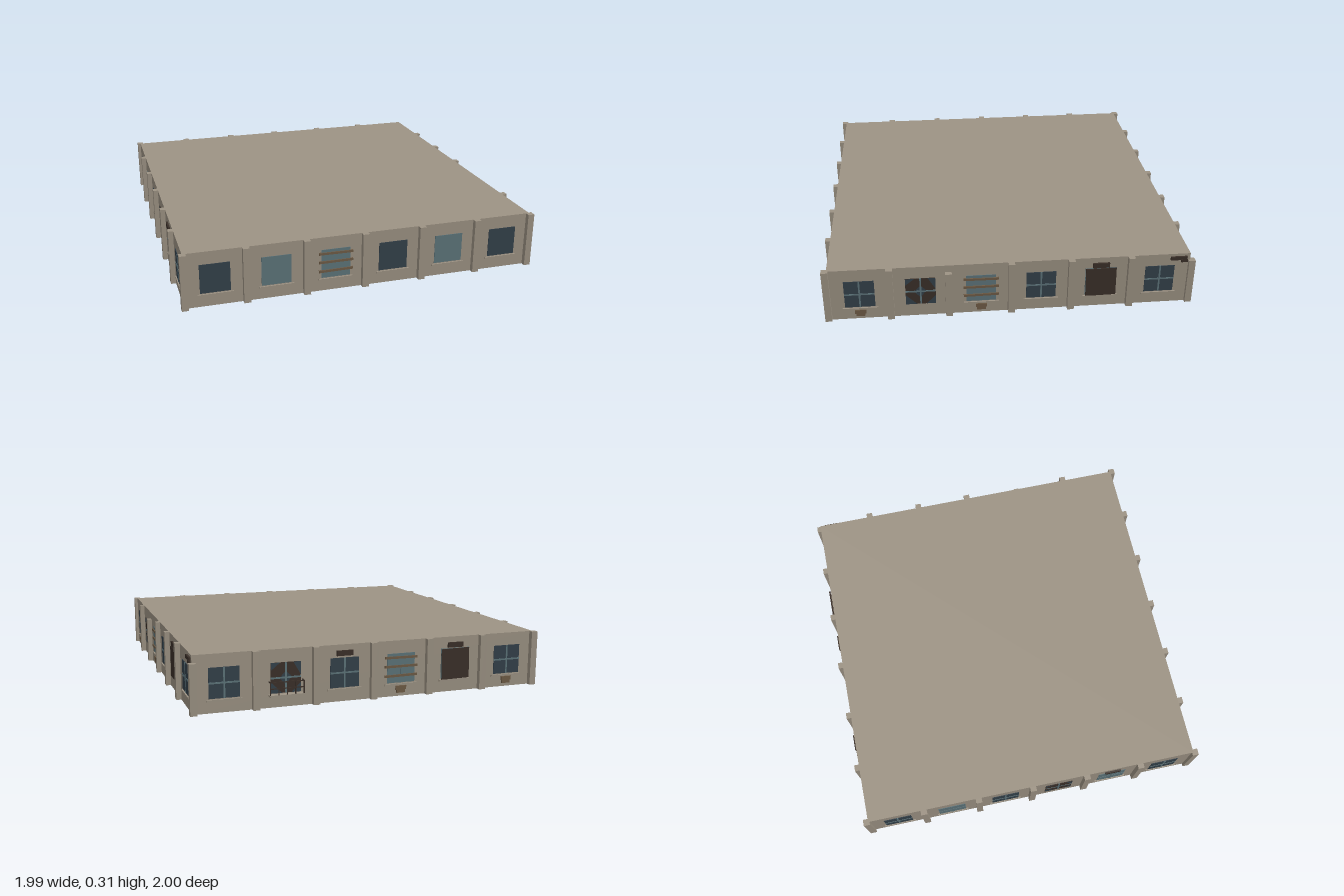
import * as THREE from 'three';

const material = (name, color, side = THREE.FrontSide) => {
  const m = new THREE.MeshStandardMaterial({ color, side });
  m.name = name;
  return m;
};

const WALL = 0.968, HEIGHT = 0.305, BAY = 0.3225;
const PANE = 0.16, PANE_Y = 0.155;

export function createModel() {
  const concrete = material('concrete', 0x9d9384);
  const darkGlass = material('darkGlass', 0x34414b);
  const paleGlass = material('paleGlass', 0x5e757b);
  const shards = material('glassShards', 0x34414b, THREE.DoubleSide);
  const charred = material('charredBrown', 0x3b3029);
  const wood = material('wood', 0x6f5c46);
  const building = new THREE.Group();
  building.name = 'buildingStorey';

  const box = (parent, name, mat, w, h, d, x, y, z) => {
    const mesh = new THREE.Mesh(new THREE.BoxGeometry(w, h, d), mat);
    mesh.name = name;
    mesh.position.set(x, y, z);
    parent.add(mesh);
    return mesh;
  };
  // A plate or block standing on the wall face, reaching out by depth
  const onWall = (parent, name, mat, w, h, depth, x, y) =>
    box(parent, name, mat, w, h, depth, x, y, WALL + depth / 2);

  box(building, 'storeyBlock', concrete, WALL * 2, HEIGHT, WALL * 2, 0, HEIGHT / 2, 0);

  // Cross-shaped glazing bars
  const bars = (g, x) => {
    onWall(g, 'verticalGlazingBar', paleGlass, 0.009, PANE, 0.005, x, PANE_Y);
    onWall(g, 'horizontalGlazingBar', paleGlass, PANE, 0.009, 0.005, x, PANE_Y);
  };

  // Jagged remains of glass in a burnt opening
  const brokenGlass = (g, x) => {
    const pieces = [
      [-0.08, -0.08, -0.02, -0.08, -0.08, -0.02],
      [0.08, -0.08, 0.08, -0.03, 0.03, -0.08],
      [0.08, 0.08, 0.04, 0.08, 0.08, 0.01],
      [-0.08, 0.08, -0.08, 0.04, -0.03, 0.08],
      [-0.035, 0, 0, -0.04, 0.03, 0.005, 0, 0.035],
    ];
    for (const p of pieces) {
      const s = new THREE.Shape();
      s.moveTo(p[0], p[1]);
      for (let i = 2; i < p.length; i += 2) s.lineTo(p[i], p[i + 1]);
      const mesh = new THREE.Mesh(new THREE.ShapeGeometry(s), shards);
      mesh.name = 'glassShard';
      mesh.position.set(x, PANE_Y, WALL + 0.004);
      g.add(mesh);
    }
  };

  // Extras that hang around a window
  const extras = {
    planks(g, x) {
      [0.213, 0.165, 0.114].forEach((y, i) => {
        const plank = onWall(g, 'plank', wood, 0.188, 0.013, 0.009, x, y);
        plank.rotation.z = (i - 1) * 0.012;
      });
    },
    hangingBox(g, x) {
      onWall(g, 'hangingBoxRim', wood, 0.06, 0.022, 0.01, x, 0.047);
      onWall(g, 'hangingBoxBase', wood, 0.048, 0.018, 0.008, x, 0.028);
    },
    headPlate(g, x) {
      onWall(g, 'headPlate', charred, 0.09, 0.028, 0.01, x, 0.26);
    },
    balcony(g, x) {
      const b = new THREE.Group();
      b.name = 'balcony';
      g.add(b);
      onWall(b, 'balconyFloor', concrete, 0.185, 0.01, 0.032, x, 0.066);
      for (const y of [0.105, 0.138])
        box(b, 'balconyRail', charred, 0.185, 0.005, 0.005, x, y, 0.9965);
      for (let i = 0; i < 5; i++)
        box(b, 'balconyPost', charred, 0.005, 0.07, 0.005, x - 0.09 + i * 0.045, 0.105, 0.9965);
      for (const s of [-1, 1])
        onWall(b, 'balconySideRail', charred, 0.005, 0.005, 0.03, x + s * 0.09, 0.138);
    },
  };

  const addWindow = (g, x, [type, ...more]) => {
    const w = new THREE.Group();
    w.name = 'window';
    g.add(w);
    if (type === 'shutter') {
      // Boarded panel with slivers of the old frame at its edges
      onWall(w, 'oldFrame', paleGlass, 0.168, 0.165, 0.003, x, PANE_Y + 0.004);
      onWall(w, 'shutter', charred, 0.165, 0.17, 0.008, x + 0.002, PANE_Y).rotation.z = 0.015;
    } else {
      const mat = type.startsWith('pale') ? paleGlass : type === 'broken' ? charred : darkGlass;
      onWall(w, 'pane', mat, PANE, PANE, 0.003, x, PANE_Y);
      if (type === 'broken') brokenGlass(w, x);
      if (type === 'broken' || type.endsWith('Barred')) bars(w, x);
    }
    if (type !== 'broken') onWall(w, 'sill', concrete, 0.188, 0.01, 0.008, x, 0.065);
    more.forEach((name) => extras[name](w, x));
  };

  // Bays run left to right as seen from outside each wall
  const facades = [
    { name: 'frontFacade', turn: 0, corners: true, bays: [
      ['dark'], ['pale'], ['pale', 'planks'], ['dark'], ['pale'], ['dark']] },
    { name: 'leftFacade', turn: Math.PI / 2, short: 2, bays: [
      ['darkBarred', 'hangingBox'], ['broken'], ['paleBarred', 'planks', 'hangingBox'],
      ['darkBarred'], ['shutter', 'headPlate'], ['darkBarred']] },
    { name: 'backFacade', turn: Math.PI, corners: true, short: 0, bays: [
      ['darkBarred'], ['broken', 'balcony'], ['darkBarred', 'headPlate'],
      ['paleBarred', 'planks', 'hangingBox'], ['shutter', 'headPlate'], ['darkBarred', 'hangingBox']] },
    { name: 'rightFacade', turn: -Math.PI / 2, bays: [
      ['darkBarred'], ['paleBarred'], ['darkBarred'], ['broken'],
      ['paleBarred', 'headPlate'], ['darkBarred']] },
  ];

  for (const f of facades) {
    const g = new THREE.Group();
    g.name = f.name;
    g.rotation.y = f.turn;
    building.add(g);
    f.bays.forEach((bay, i) => addWindow(g, (i - 2.5) * BAY, bay));
    // Pilasters between bays; the front and back walls also carry the corners
    for (let i = 0; i <= 6; i++) {
      const corner = i === 0 || i === 6;
      if (corner && !f.corners) continue;
      const broken = f.short === i;
      const h = broken ? 0.265 : HEIGHT;
      const x = (i - 3) * BAY - (broken && !corner ? 0.012 : 0);
      const depth = corner ? 0.036 : 0.028;
      box(g, corner ? 'cornerPilaster' : 'pilaster', concrete, 0.036, h, depth,
        x, h / 2, 0.995 - depth / 2);
    }
  }

  // Charred debris by the broken corner
  const leftFacade = building.getObjectByName('leftFacade');
  onWall(leftFacade, 'debris', charred, 0.09, 0.02, 0.01, 0.905, 0.28);
  onWall(leftFacade, 'debris', charred, 0.035, 0.016, 0.012, 0.935, 0.265);

  return building;
}
